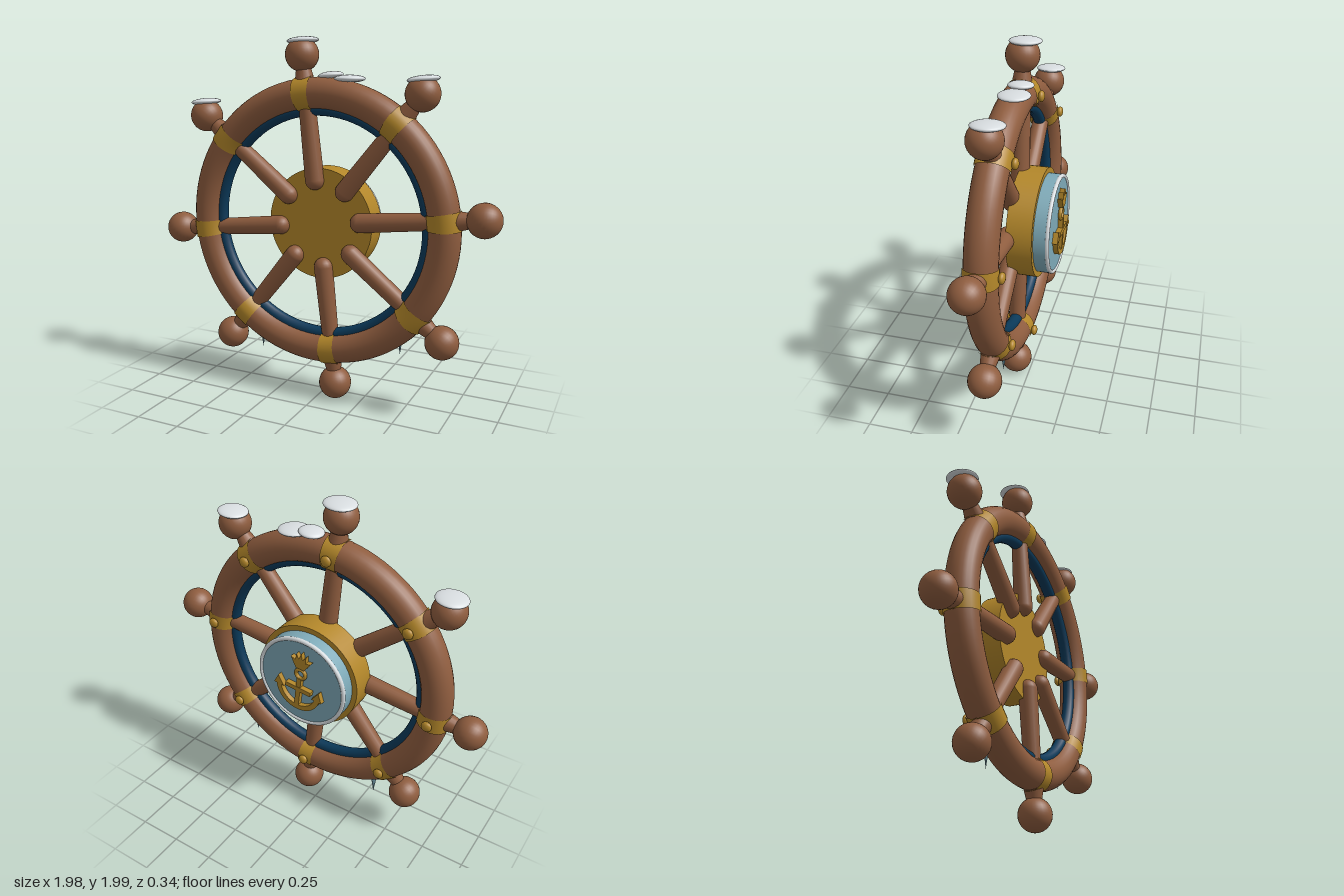
import * as THREE from 'three';

const mat = (name, color) => {
  const m = new THREE.MeshStandardMaterial({ color });
  m.name = name;
  return m;
};

export function createModel() {
  const wood = mat('wood', 0x8f5d3f);
  const gold = mat('gold', 0xb3872a);
  const navy = mat('navy', 0x0b3a5a);
  const blue = mat('iceBlue', 0x7eaab8);
  const white = mat('snow', 0xd8dde0);

  const model = new THREE.Group();
  model.name = 'shipWheel';
  const add = (parent, name, geo, material, x = 0, y = 0, z = 0) => {
    const m = new THREE.Mesh(geo, material);
    m.name = name;
    m.position.set(x, y, z);
    parent.add(m);
    return m;
  };

  // Whole wheel is turned slightly; its mid plane sits at z = 0.08
  const wheel = new THREE.Group();
  wheel.name = 'wheel';
  wheel.position.set(0, 1, 0.08);
  wheel.rotation.z = 0.108;
  model.add(wheel);

  add(wheel, 'rim', new THREE.TorusGeometry(0.702, 0.085, 24, 96), wood);
  add(wheel, 'innerRing', new THREE.TorusGeometry(0.619, 0.034, 14, 96), navy);

  // Turned spoke with rounded inner end and a neck flaring outside the rim
  const spokeProfile = [];
  for (let i = 0; i <= 6; i++) {
    const a = (i / 6) * Math.PI / 2;
    spokeProfile.push(new THREE.Vector2(0.053 * Math.sin(a), 0.24 - 0.053 * Math.cos(a)));
  }
  spokeProfile.push(new THREE.Vector2(0.046, 0.66));
  const spokeGeo = new THREE.LatheGeometry(spokeProfile, 20);
  const neckGeo = new THREE.CylinderGeometry(0.036, 0.056, 0.1, 20, 1, true);
  const knobGeo = new THREE.SphereGeometry(0.09, 28, 20);
  const bandArc = 0.13;
  const bandGeo = new THREE.TorusGeometry(0.702, 0.091, 24, 6, bandArc);
  const studGeo = new THREE.SphereGeometry(0.03, 16, 10).scale(1, 1, 0.6);

  for (let i = 0; i < 8; i++) {
    const arm = new THREE.Group();
    arm.name = 'arm' + (i + 1);
    arm.rotation.z = i * Math.PI / 4;
    wheel.add(arm);
    add(arm, 'spoke', spokeGeo, wood);
    add(arm, 'neck', neckGeo, wood, 0, 0.805, 0);
    add(arm, 'knob', knobGeo, wood, 0, 0.906, 0);
    const band = add(arm, 'band', bandGeo, gold);
    band.rotation.z = Math.PI / 2 - bandArc / 2;
    add(arm, 'stud', studGeo, gold, 0, 0.702, -0.104);
  }

  // Hub: gold drum, blue plate and white trim on the back
  const drum = (r, depth) => new THREE.CylinderGeometry(r, r, depth, 64).rotateX(Math.PI / 2);
  add(wheel, 'hub', drum(0.305, 0.14), gold, 0, 0, -0.075);
  add(wheel, 'hubPlate', drum(0.275, 0.085), blue, 0, 0, -0.18);
  add(wheel, 'plateTrim', new THREE.TorusGeometry(0.266, 0.012, 10, 64), white, 0, 0, -0.218);

  // Anchor emblem on the back plate
  const emblem = new THREE.Group();
  emblem.name = 'anchorEmblem';
  emblem.position.z = -0.235;
  wheel.add(emblem);
  const plate = (points, depth) => {
    const shape = new THREE.Shape(points.map(([x, y]) => new THREE.Vector2(x, y)));
    return new THREE.ExtrudeGeometry(shape, { depth, bevelEnabled: false })
      .translate(0, 0, -depth / 2);
  };
  add(emblem, 'shank', new THREE.BoxGeometry(0.028, 0.2, 0.03), gold, 0, -0.06, 0);
  add(emblem, 'stock', new THREE.BoxGeometry(0.16, 0.027, 0.034), gold, 0, -0.03, 0);
  add(emblem, 'ring', new THREE.TorusGeometry(0.029, 0.011, 10, 24), gold, 0, 0.065, 0);

  // Curved arms cut as a flat arc
  const arc = new THREE.Shape();
  arc.absarc(0, 0, 0.14, Math.PI * 1.04, Math.PI * 1.96, false);
  arc.absarc(0, 0, 0.11, Math.PI * 1.96, Math.PI * 1.04, true);
  const arcGeo = new THREE.ExtrudeGeometry(arc, { depth: 0.03, bevelEnabled: false, curveSegments: 24 });
  add(emblem, 'flukeArc', arcGeo, gold, 0, -0.03, -0.015);
  const tip = plate([[-0.035, -0.014], [0.03, -0.014], [0.006, 0.045]], 0.034);
  for (const s of [-1, 1]) {
    const fluke = add(emblem, 'fluke', tip, gold, s * 0.124, -0.04, 0);
    if (s < 0) fluke.rotation.y = Math.PI;
  }

  // Pointed crown above the ring
  add(emblem, 'crown', plate([
    [-0.026, 0.108], [0.026, 0.108], [0.062, 0.168], [0.032, 0.16], [0.03, 0.198],
    [0.011, 0.172], [0, 0.21], [-0.011, 0.172], [-0.03, 0.198], [-0.032, 0.16], [-0.062, 0.168],
  ], 0.03), gold);

  // Snow caps: x, y, z, radius, tilt
  const snowGeo = new THREE.SphereGeometry(1, 24, 14);
  for (const [x, y, z, r, tilt] of [
    [-0.1, 1.974, 0.065, 0.086, 0.06], [0.565, 1.778, 0.065, 0.084, 0.1],
    [-0.715, 1.645, 0.07, 0.084, 0.08], [0.055, 1.795, 0.05, 0.068, 0.1],
    [0.165, 1.778, 0.055, 0.084, 0],
  ]) {
    const cap = add(model, 'snowCap', snowGeo, white, x, y, z);
    cap.scale.set(r, 0.02, r);
    cap.rotation.z = tilt;
  }

  // Icicles hanging under the rim
  const icicleGeo = new THREE.ConeGeometry(0.018, 0.12, 6).rotateX(Math.PI);
  add(model, 'icicle', icicleGeo, blue, -0.38, 0.282, 0.05);
  add(model, 'icicle', icicleGeo, blue, 0.468, 0.375, 0.05);

  return model;
}
